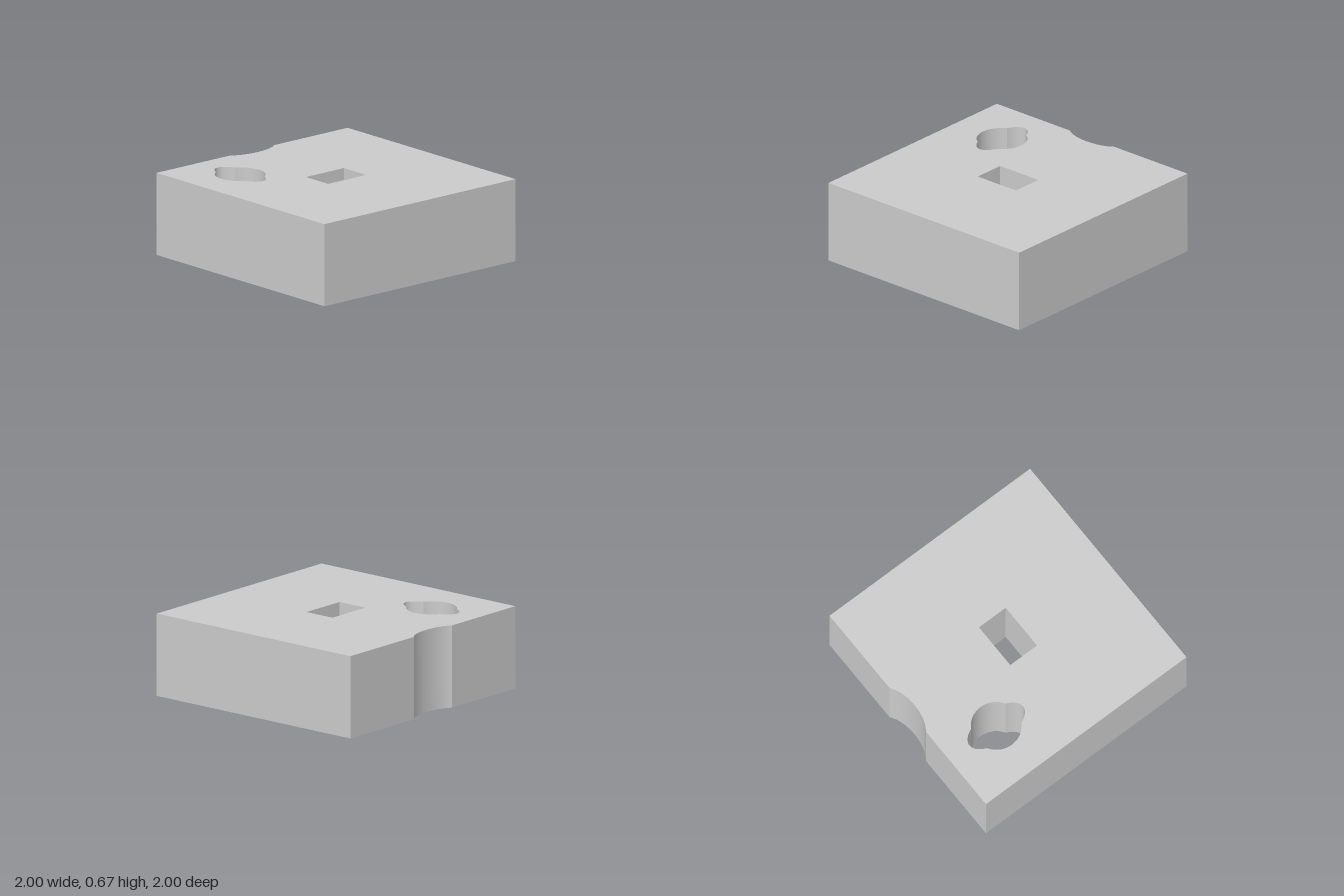
import * as THREE from 'three';
import { toCreasedNormals } from 'three/addons/utils/BufferGeometryUtils.js';

const HEIGHT = 0.67;

// Points along an elliptical arc, leaving out the start point so arcs can be chained
function arc(cx, cy, rx, ry, from, to, steps = 24) {
  const points = [];
  for (let i = 1; i <= steps; i++) {
    const t = from + ((to - from) * i) / steps;
    points.push(new THREE.Vector2(cx + rx * Math.cos(t), cy + ry * Math.sin(t)));
  }
  return points;
}

// Outline of a circle merged with a narrow upright ellipse on the same centre
function lobedHole(cx, cy, r, rx, ry) {
  const x = Math.sqrt((ry * ry - r * r) / ((ry * ry) / (rx * rx) - 1));
  const y = Math.sqrt(r * r - x * x);
  const a = Math.atan2(y, x);
  const b = Math.atan2(y / ry, x / rx);
  const points = [];
  for (const turn of [0, Math.PI]) {
    points.push(...arc(cx, cy, r, r, turn - a, turn + a));
    points.push(...arc(cx, cy, rx, ry, turn + b, turn + Math.PI - b));
  }
  return new THREE.Path(points);
}

export function createModel() {
  const group = new THREE.Group();
  group.name = 'blockWithHoles';
  const v = (x, y) => new THREE.Vector2(x, y);

  // Plan drawn with shape y pointing to the back; the back edge has a shallow elliptical notch
  const rx = 0.2667, ry = 0.1333, notchY = 1 + ry / 2;
  const notchX = rx * Math.cos(Math.PI / 6);
  const plan = new THREE.Shape([
    v(-1, -1), v(1, -1), v(1, 1), v(notchX, 1),
    ...arc(0, notchY, rx, ry, -Math.PI / 6, (-5 * Math.PI) / 6, 32),
    v(-1, 1),
  ]);

  // Rectangular hole in the centre and lobed hole towards the back right
  plan.holes.push(
    new THREE.Path([v(-0.2, -0.1333), v(-0.2, 0.1333), v(0.2, 0.1333), v(0.2, -0.1333)]),
    lobedHole(-0.5333, 0.5333, 0.2, 0.1333, 0.2667),
  );

  const geometry = new THREE.ExtrudeGeometry(plan, { depth: HEIGHT, bevelEnabled: false });
  geometry.rotateX(-Math.PI / 2);
  const block = new THREE.Mesh(
    toCreasedNormals(geometry, 0.5),
    new THREE.MeshStandardMaterial({ color: 0xcccccc }),
  );
  block.name = 'block';
  group.add(block);
  return group;
}
